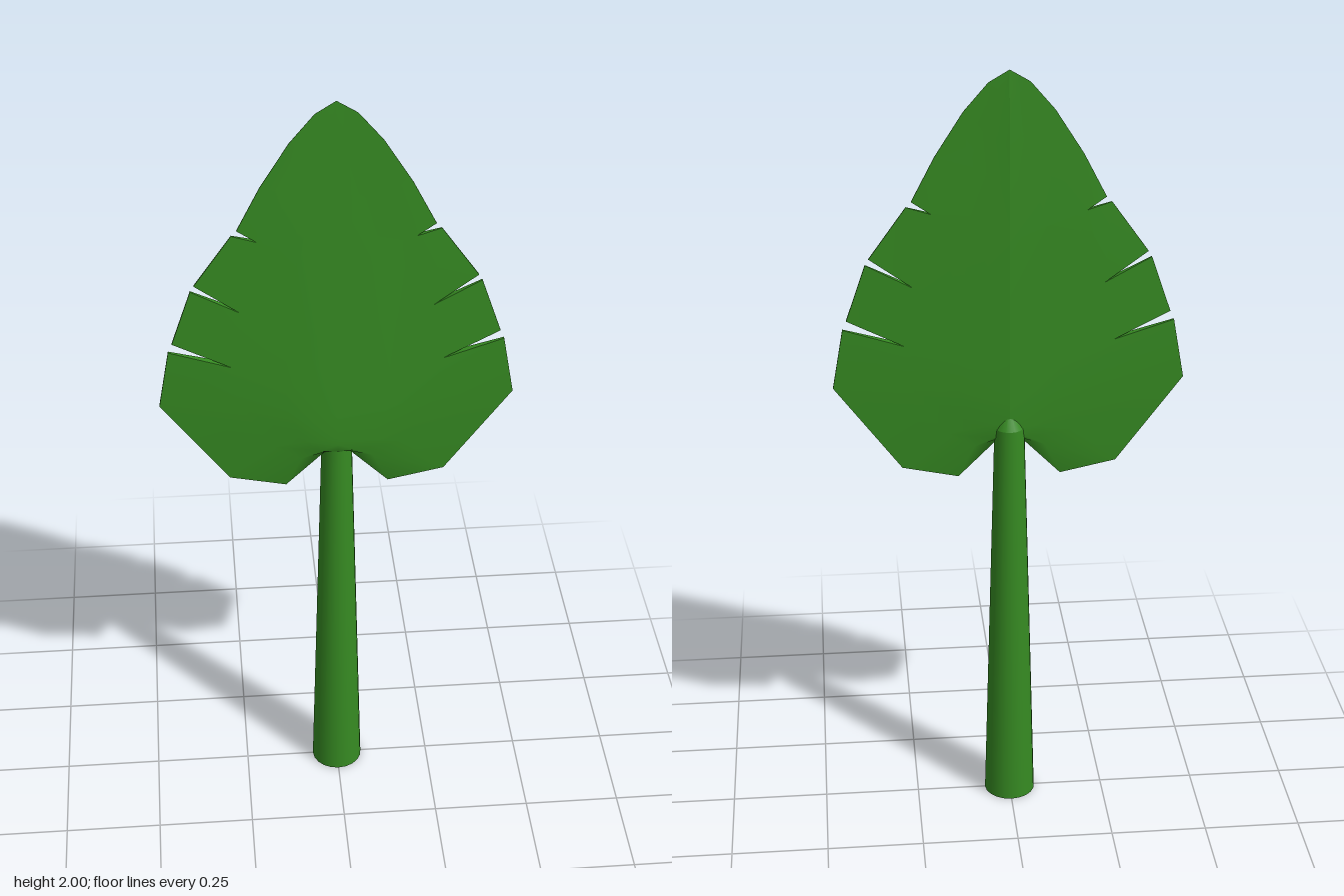
import * as THREE from 'three';
import { mergeVertices } from 'three/addons/utils/BufferGeometryUtils.js';

const leafGreen = new THREE.MeshStandardMaterial({ color: 0x368a22 });
leafGreen.name = 'leafGreen';

// Leaf veins on one side: [midrib y, inner x, inner y, edge x, edge y].
// Two veins with the same midrib y are the two lips of a slit.
const VEINS = [
  [1.06, 0.02, 1.06, 0.035, 1.07],
  [1.08, 0.09, 1.03, 0.13, 0.945],
  [1.10, 0.16, 1.07, 0.272, 0.975],
  [1.16, 0.25, 1.20, 0.44, 1.20],
  [1.23, 0.26, 1.31, 0.412, 1.355],
  [1.23, 0.26, 1.31, 0.402, 1.378],
  [1.38, 0.235, 1.462, 0.352, 1.522],
  [1.38, 0.235, 1.462, 0.343, 1.537],
  [1.58, 0.19, 1.65, 0.25, 1.667],
  [1.58, 0.19, 1.65, 0.237, 1.68],
  [1.72, 0.10, 1.77, 0.18, 1.79],
  [1.82, 0.06, 1.86, 0.11, 1.90],
  [1.92, 0.03, 1.95, 0.05, 1.97],
  [2.00, 0.00, 2.00, 0.00, 2.00],
];

// Four points along a vein, thick at the midrib and thin at the edge
function veinPoints([my, ix, iy, ex, ey], face) {
  const up = THREE.MathUtils.clamp((my - 1.06) / 0.94, 0, 1);
  const front = THREE.MathUtils.lerp(0.042, -0.005, up);
  const back = THREE.MathUtils.lerp(-0.022, -0.007, up * up);
  const rim = THREE.MathUtils.lerp(0.008, -0.006, up * up);
  const midZ = face > 0 ? front : back;
  const edgeZ = rim + face * 0.004 * (1 - up);
  return [[0, my, 0], [ix / 2, (my + iy) / 2, 0.38], [ix, iy, 0.65], [ex, ey, 1]]
    .map(([x, y, s]) => [x, y, THREE.MathUtils.lerp(midZ, edgeZ, s)]);
}

// Adds a quad, mirrored to the given side and optionally reversed
function addQuad(out, [a, b, c, d], side, reverse) {
  const order = (side < 0) !== reverse ? [a, c, b, a, d, c] : [a, b, c, a, c, d];
  for (const p of order) out.push(p[0] * side, p[1], p[2]);
}

function toMesh(name, positions, smooth) {
  let geometry = new THREE.BufferGeometry();
  geometry.setAttribute('position', new THREE.Float32BufferAttribute(positions, 3));
  if (smooth) geometry = mergeVertices(geometry, 1e-5);
  geometry.computeVertexNormals();
  const mesh = new THREE.Mesh(geometry, leafGreen);
  mesh.name = name;
  return mesh;
}

// One face of the blade on one side, leaving the slits open
function addFace(out, side, face) {
  const rows = VEINS.map((v) => veinPoints(v, face));
  for (let i = 0; i < rows.length - 1; i++) {
    if (VEINS[i][0] === VEINS[i + 1][0]) continue;
    for (let j = 0; j < 3; j++) {
      addQuad(out, [rows[i][j], rows[i][j + 1], rows[i + 1][j + 1], rows[i + 1][j]], side, face < 0);
    }
  }
}

// Thin rim joining both faces around the outline and inside the slits
function addRim(out, side) {
  const outline = (face) => {
    const rows = VEINS.map((v) => veinPoints(v, face));
    const path = rows[0].slice(0, 3);
    rows.forEach((row, i) => {
      if (i > 0 && VEINS[i][0] === VEINS[i - 1][0]) path.push(row[2]);
      path.push(row[3]);
    });
    return path;
  };
  const f = outline(1), b = outline(-1);
  for (let i = 0; i < f.length - 1; i++) {
    addQuad(out, [f[i], b[i], b[i + 1], f[i + 1]], side, false);
  }
}

export function createModel() {
  const group = new THREE.Group();
  group.name = 'leafOnStem';

  // Blade
  const front = [], rim = [];
  for (const side of [1, -1]) {
    addFace(front, side, 1);
    addRim(rim, side);
    const back = [];
    addFace(back, side, -1);
    group.add(toMesh(side > 0 ? 'leafBackLeft' : 'leafBackRight', back, true));
  }
  group.add(toMesh('leafFront', front, true), toMesh('leafRim', rim, false));

  // Tapered stem with a short tip that sinks into the blade
  const stem = new THREE.Mesh(new THREE.CylinderGeometry(0.038, 0.067, 1.08, 20), leafGreen);
  stem.name = 'stem';
  stem.position.y = 0.54;
  const tip = new THREE.Mesh(new THREE.CylinderGeometry(0.012, 0.038, 0.05, 20), leafGreen);
  tip.name = 'stemTip';
  tip.position.y = 1.105;
  group.add(stem, tip);

  return group;
}
